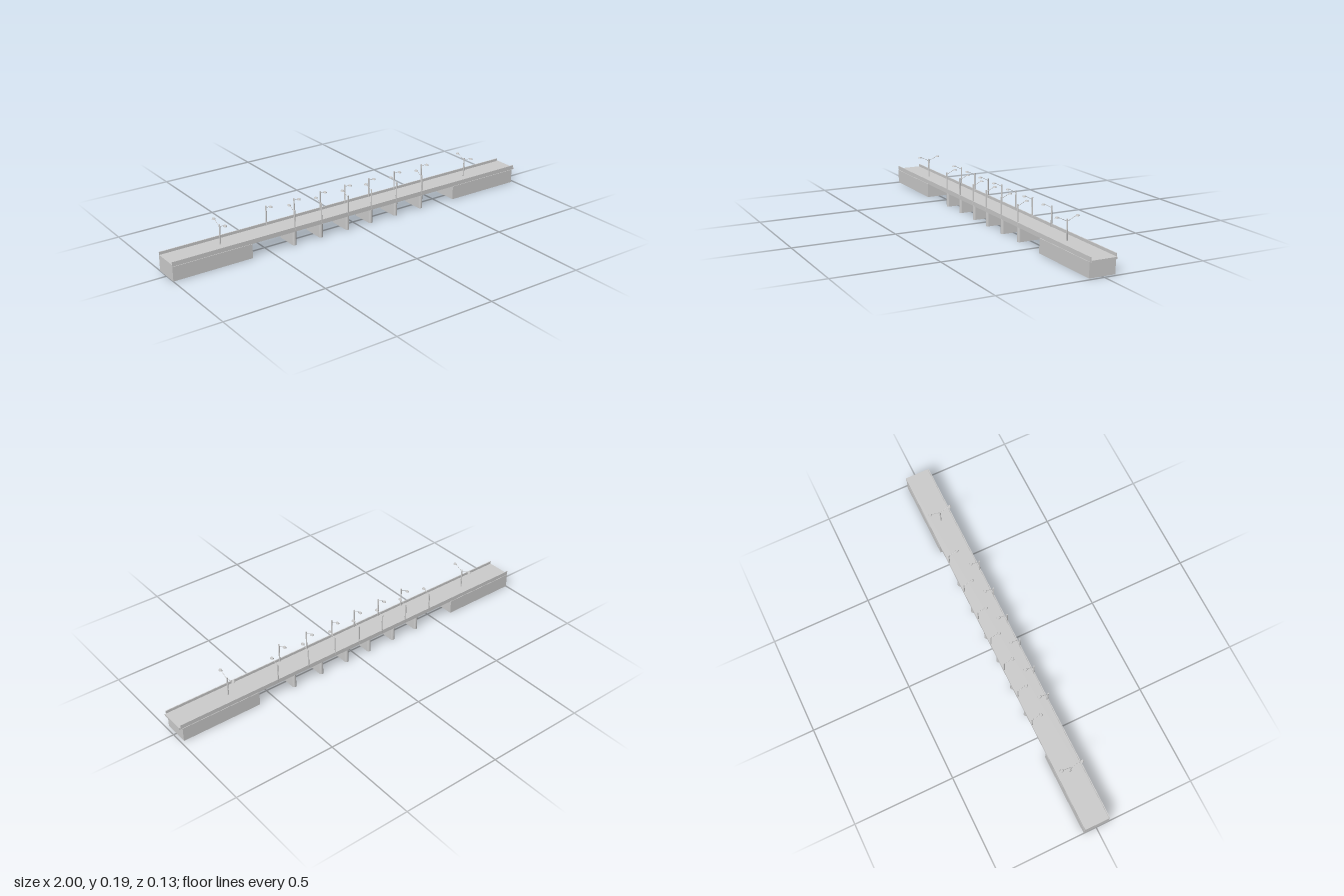
import * as THREE from 'three';

const grey = new THREE.MeshStandardMaterial({ color: 0xcccccc, flatShading: true });
const smooth = new THREE.MeshStandardMaterial({ color: 0xcccccc });

function add(parent, name, geometry, x, y, z, material = grey) {
  const mesh = new THREE.Mesh(geometry, material);
  mesh.name = name;
  mesh.position.set(x, y, z);
  parent.add(mesh);
  return mesh;
}

// Box given by its lower and upper limits on each axis
function block(parent, name, [x0, x1], [y0, y1], [z0, z1]) {
  const geometry = new THREE.BoxGeometry(x1 - x0, y1 - y0, z1 - z0);
  return add(parent, name, geometry, (x0 + x1) / 2, (y0 + y1) / 2, (z0 + z1) / 2);
}

// Wall pier with rounded noses at both ends
function pierGeometry(width, depth, height) {
  const r = width / 2, s = depth / 2 - r;
  const shape = new THREE.Shape();
  shape.moveTo(r, -s);
  shape.lineTo(r, s);
  shape.absarc(0, s, r, 0, Math.PI, false);
  shape.lineTo(-r, -s);
  shape.absarc(0, -s, r, Math.PI, Math.PI * 2, false);
  const geometry = new THREE.ExtrudeGeometry(shape, { depth: height, bevelEnabled: false, curveSegments: 8 });
  return geometry.rotateX(-Math.PI / 2);
}

const DECK_TOP = 0.079, POLE_TOP = 0.177;
const poleGeometry = new THREE.CylinderGeometry(0.0035, 0.0035, POLE_TOP - DECK_TOP, 10);
const headGeometry = new THREE.CylinderGeometry(0.0075, 0.01, 0.006, 10).scale(0.85, 1, 1);

// Slanted arm with a flat oval lamp head, reaching along z by the sign of dir
function lampArm(lamp, dir, startY, reach, headY) {
  const a = new THREE.Vector3(0, startY, 0);
  const b = new THREE.Vector3(0, headY - 0.001, dir * reach);
  add(lamp, 'lampArm', new THREE.TubeGeometry(new THREE.LineCurve3(a, b), 1, 0.0013, 6), 0, 0, 0, smooth);
  add(lamp, 'lampHead', headGeometry, 0, headY, dir * (reach + 0.009));
}

function streetLamp(parent, name, x, z, dirs, startY, reach, headY) {
  const lamp = new THREE.Group();
  lamp.name = name;
  lamp.position.set(x, 0, z);
  add(lamp, 'lampPole', poleGeometry, 0, (DECK_TOP + POLE_TOP) / 2, 0);
  dirs.forEach((dir, i) => lampArm(lamp, dir, startY, reach, headY + i * 0.002));
  parent.add(lamp);
}

export function createModel() {
  const bridge = new THREE.Group();
  bridge.name = 'bridge';

  // Road deck and low parapets
  block(bridge, 'deck', [-1, 1], [0.069, DECK_TOP], [-0.061, 0.061]);
  for (const side of [1, -1]) {
    const name = side > 0 ? 'frontParapet' : 'backParapet';
    const edge = [side * 0.0605, side * 0.0635].sort((a, b) => a - b);
    block(bridge, name, [-1, 0.993], [0.072, 0.092], edge);
    const cap = [side * 0.0595, side * 0.064].sort((a, b) => a - b);
    block(bridge, name + 'Rail', [-1, 0.993], [0.089, 0.093], cap);
  }

  // Solid abutments under both ends
  block(bridge, 'rightAbutment', [-1, -0.6], [0, 0.07], [-0.064, 0.064]);
  block(bridge, 'leftAbutment', [0.58, 0.985], [0, 0.07], [-0.064, 0.064]);

  // Piers, each with a lamp on the front edge above it
  const pier = pierGeometry(0.02, 0.124, 0.07);
  for (const x of [-0.37, -0.222, -0.07, 0.068, 0.22, 0.378]) {
    add(bridge, 'pier', pier, x, 0, 0);
    streetLamp(bridge, 'frontLamp', x, 0.0605, [-1], 0.167, 0.037, 0.187);
  }

  // Lamps along the back edge
  for (const x of [-0.45, -0.296, -0.148, -0.003, 0.14, 0.298, 0.472]) {
    streetLamp(bridge, 'backLamp', x, -0.0605, [1], 0.167, 0.034, 0.187);
  }

  // Double lamps in the middle of the road at both ends
  for (const x of [-0.728, 0.705]) {
    streetLamp(bridge, 'doubleLamp', x, 0, [-1, 1], 0.167, 0.043, 0.187);
  }

  return bridge;
}
